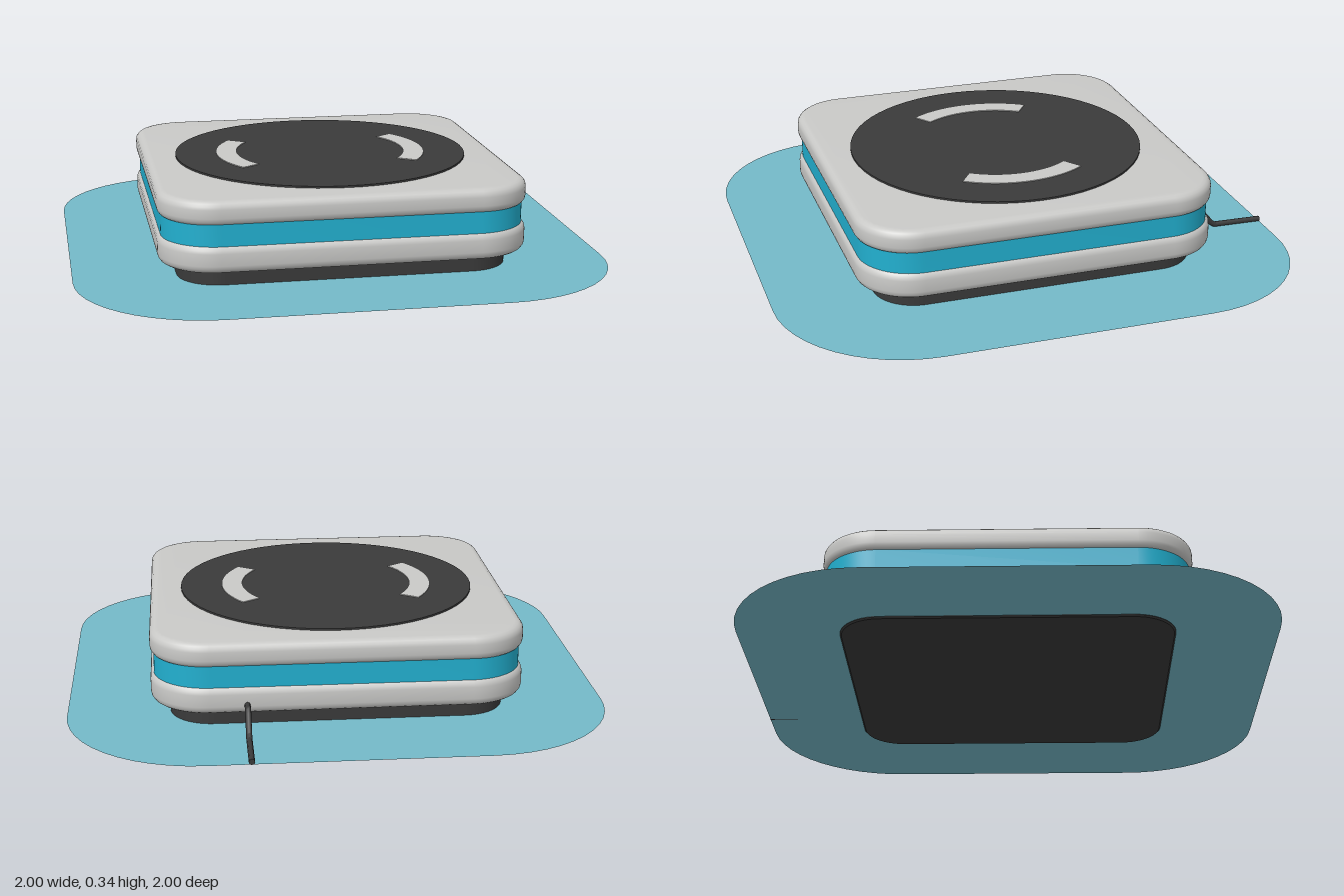
import * as THREE from 'three';
import { toCreasedNormals } from 'three/addons/utils/BufferGeometryUtils.js';

const mat = (name, color) => Object.assign(new THREE.MeshStandardMaterial({ color }), { name });

// Square outline with rounded corners, half-width h and corner radius r
function roundedSquare(h, r) {
  const s = new THREE.Shape();
  const c = h - r;
  [[c, c], [-c, c], [-c, -c], [c, -c]].forEach(([x, y], i) =>
    s.absarc(x, y, r, i * Math.PI / 2, (i + 1) * Math.PI / 2, false));
  s.closePath();
  return s;
}

// Upright slab from y0 to y1 whose bevel stays inside the outline
function slab(shape, y0, y1, bevel, curveSegments = 10, bevelSegments = 4) {
  const g = new THREE.ExtrudeGeometry(shape, {
    depth: y1 - y0 - 2 * bevel, curveSegments, bevelEnabled: bevel > 0,
    bevelThickness: bevel, bevelSize: bevel, bevelOffset: -bevel, bevelSegments,
  });
  g.rotateX(-Math.PI / 2).translate(0, y0 + bevel, 0);
  return toCreasedNormals(g, 0.6);
}

export function createModel() {
  const shellGrey = mat('shell grey', 0xc9c9c7);
  const bandBlue = mat('band blue', 0x22b0d0);
  const darkGrey = mat('dark grey', 0x3a3a3a);
  const glowBlue = mat('glow blue', 0x74b9c8);
  glowBlue.side = THREE.DoubleSide;

  const model = new THREE.Group();
  model.name = 'squarePuckDevice';
  const add = (name, geometry, material) => {
    const mesh = new THREE.Mesh(geometry, material);
    mesh.name = name;
    model.add(mesh);
    return mesh;
  };

  // Stacked body
  add('base', slab(roundedSquare(0.62, 0.16), 0, 0.075, 0.006, 10, 1), darkGrey);
  add('lowerShell', slab(roundedSquare(0.69, 0.21), 0.068, 0.173, 0.03), shellGrey);
  add('lightBand', slab(roundedSquare(0.677, 0.2), 0.165, 0.25, 0), bandBlue);
  add('upperShell', slab(roundedSquare(0.69, 0.21), 0.243, 0.335, 0.03), shellGrey);

  // Round top plate with two curved marks
  add('topDisc', new THREE.CylinderGeometry(0.57, 0.57, 0.012, 64).translate(0, 0.336, 0), darkGrey);
  const half = 0.61;
  for (const [name, mid] of [['leftArc', 0], ['rightArc', Math.PI]]) {
    const s = new THREE.Shape();
    s.absarc(0, 0, 0.41, mid - half, mid + half, false);
    s.absarc(0, 0, 0.33, mid + half, mid - half, true);
    s.closePath();
    add(name, slab(s, 0.34, 0.345, 0, 16), shellGrey);
  }

  // Thin sheet of light on the ground
  const sheet = new THREE.ShapeGeometry(roundedSquare(1, 0.5), 6);
  add('groundGlow', sheet.rotateX(-Math.PI / 2).translate(0, 0.007, 0), glowBlue);

  // Cable dropping from the back and running along the ground
  const path = new THREE.CurvePath();
  const points = [[0.105, -0.66], [0.102, -0.725], [0.088, -0.74], [0.028, -0.79],
    [0.019, -0.805], [0.016, -1]].map(([y, z]) => new THREE.Vector3(0.343, y, z));
  points.slice(1).forEach((p, i) => path.add(new THREE.LineCurve3(points[i], p)));
  add('cable', new THREE.TubeGeometry(path, 48, 0.011, 8), darkGrey);
  const cap = new THREE.CircleGeometry(0.011, 8).rotateY(Math.PI);
  add('cableEnd', cap.translate(0.343, 0.016, -1), darkGrey);

  return model;
}
